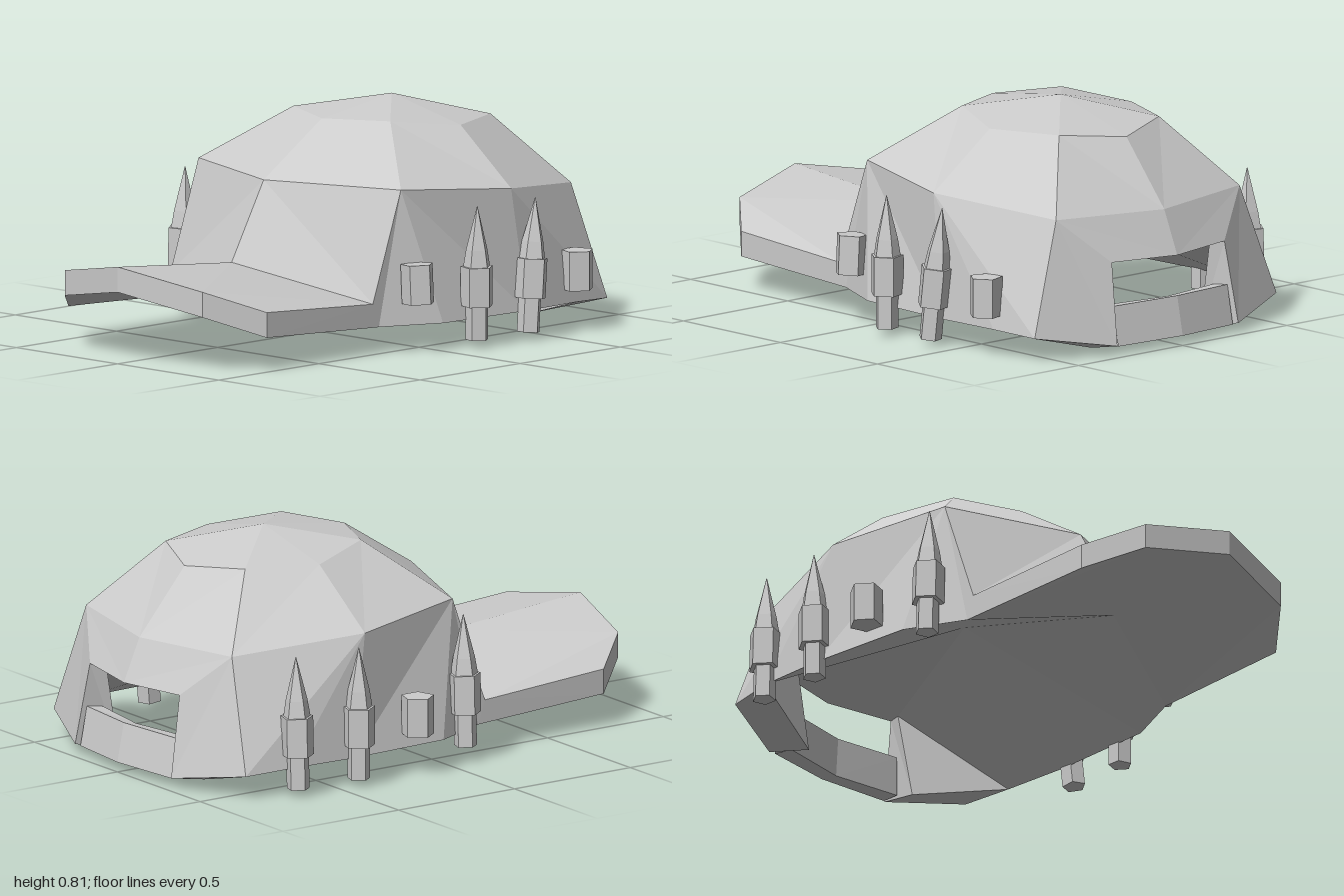
import * as THREE from 'three';

const grey = new THREE.MeshStandardMaterial({ color: 0xcccccc, flatShading: true });
const cloth = new THREE.MeshStandardMaterial({ color: 0xcccccc, flatShading: true, side: THREE.DoubleSide });

// Builds faceted panels from corner loops of the +x half and mirrors them to -x.
function mirroredPanels(name, faces) {
  const pos = [];
  for (const f of faces) {
    for (let i = 1; i < f.length - 1; i++) {
      const tri = [f[0], f[i], f[i + 1]];
      for (const p of tri) pos.push(...p);
      for (const [x, y, z] of tri.reverse()) pos.push(-x, y, z);
    }
  }
  const geo = new THREE.BufferGeometry();
  geo.setAttribute('position', new THREE.Float32BufferAttribute(pos, 3));
  geo.computeVertexNormals();
  const mesh = new THREE.Mesh(geo, cloth);
  mesh.name = name;
  return mesh;
}

// Key rings of the crown, each running front to back down the +x side
const apex = [0, 0.81, -0.37];
const upper = [[0, 0.76, -0.02], [0.24, 0.765, -0.12], [0.34, 0.735, -0.37], [0.24, 0.735, -0.62], [0, 0.71, -0.71]];
const middle = [[0, 0.575, 0.27], [0.5, 0.575, 0.09], [0.6, 0.54, -0.36], [0.44, 0.49, -0.82], [0, 0.48, -0.905]];
const seamFront = [0, 0.3, 0.43], seamSide = [0.5, 0.185, 0.23];
const rimFront = [0, 0.21, 0.43], rimCorner = [0.5, 0.1, 0.2];
const rimWide = [0.6, 0.1, -0.02], rimSide = [0.62, 0.1, -0.42];
const rimRear = [0.61, 0.1, -0.68], rimBack = [0.58, 0.09, -0.86];
// Opening at the back: outer and inner edges, and the flaps beside it
const holeMid = [0, 0.325, -0.972], holeCorner = [0.27, 0.33, -0.925];
const innerMid = [0, 0.325, -0.92], innerCorner = [0.25, 0.325, -0.87];
const flapOut = [0.29, 0.04, -0.975], flapIn = [0.26, 0.005, -0.81];

function buildCrown() {
  const faces = [];
  for (let i = 0; i < 4; i++) {
    faces.push([apex, upper[i], upper[i + 1]]);
    faces.push([upper[i], middle[i], middle[i + 1], upper[i + 1]]);
  }
  faces.push(
    [middle[0], seamFront, seamSide, middle[1]],
    [middle[1], seamSide, rimCorner, rimWide],
    [middle[1], rimWide, rimSide, middle[2]],
    [middle[2], rimSide, rimRear, rimBack, middle[3]],
    // back panel above the opening
    [middle[3], holeCorner, holeMid, middle[4]],
    [holeMid, holeCorner, innerCorner, innerMid],
    // flap: outside, underside, end and inside
    [middle[3], rimBack, flapOut, holeCorner],
    [rimBack, rimRear, flapIn, flapOut],
    [holeCorner, flapOut, flapIn, innerCorner],
    [rimRear, innerCorner, flapIn],
  );
  return mirroredPanels('crown', faces);
}

// Shallow ceiling inside the crown
function buildLining() {
  const top = [0, 0.4, -0.3];
  const ring = [rimFront, rimCorner, rimWide, rimSide, rimRear, innerCorner, innerMid];
  return mirroredPanels('lining', ring.slice(1).map((p, i) => [top, p, ring[i]]));
}

function buildBrim() {
  const topEdge = [seamSide, [0.49, 0.215, 0.75], [0.34, 0.29, 0.92], [0, 0.35, 1]];
  const lowEdge = [rimCorner, [0.49, 0.125, 0.75], [0.34, 0.2, 0.92], [0, 0.26, 1]];
  const faces = [
    [seamFront, topEdge[3], topEdge[2], seamSide],
    [seamSide, topEdge[2], topEdge[1]],
    [rimFront, rimCorner, lowEdge[2], lowEdge[3]],
    [rimCorner, lowEdge[1], lowEdge[2]],
  ];
  for (let i = 0; i < 3; i++) faces.push([topEdge[i], topEdge[i + 1], lowEdge[i + 1], lowEdge[i]]);
  return mirroredPanels('brim', faces);
}

// Thick band closing the opening below; section corners at the middle and at the flap
function buildStrap() {
  const mid = [[0, 0.18, -0.972], [0, 0.04, -1], [0, 0.03, -0.93], [0, 0.17, -0.92]];
  const end = [[0.275, 0.175, -0.935], [0.275, 0.035, -0.963], [0.265, 0.03, -0.89], [0.255, 0.17, -0.88]];
  return mirroredPanels('backStrap', mid.map((p, i) => {
    const j = (i + 1) % 4;
    return [p, end[i], end[j], mid[j]];
  }));
}

// Five-sided loop, optionally holding a pointed cartridge; origin at the loop's centre
function buildHolder(filled) {
  const holder = new THREE.Group();
  holder.name = filled ? 'filledLoop' : 'emptyLoop';
  const add = (name, rTop, rBottom, y0, y1) => {
    const geo = new THREE.CylinderGeometry(rTop, rBottom, y1 - y0, 5);
    geo.translate(0, (y0 + y1) / 2, 0);
    const mesh = new THREE.Mesh(geo, grey);
    mesh.name = name;
    holder.add(mesh);
  };
  add('loop', 0.06, 0.06, -0.07, 0.07);
  if (filled) {
    add('cartridgeCase', 0.042, 0.042, -0.19, 0.07);
    add('cartridgeShoulder', 0.04, 0.05, 0.07, 0.13);
    add('cartridgeTip', 0.001, 0.04, 0.13, 0.285);
  }
  return holder;
}

export function createModel() {
  const cap = new THREE.Group();
  cap.name = 'cap';
  cap.add(buildCrown(), buildLining(), buildBrim(), buildStrap());

  // Loops along both sides: x, y, z, filled, tilt about x, tilt about z
  const holders = [
    [0.58, 0.25, 0.085, false, 0, 0.05],
    [0.635, 0.22, -0.155, true, 0, 0],
    [0.645, 0.22, -0.415, true, -0.1, 0.03],
    [0.63, 0.22, -0.66, false, 0, 0],
    [-0.58, 0.25, 0.085, true, 0, -0.03],
    [-0.64, 0.22, -0.16, false, 0, 0],
    [-0.64, 0.22, -0.415, true, 0, 0],
    [-0.625, 0.22, -0.67, true, 0, -0.03],
  ];
  for (const [x, y, z, filled, tiltX, tiltZ] of holders) {
    const holder = buildHolder(filled);
    holder.position.set(x, y, z);
    holder.rotation.set(tiltX, x > 0 ? Math.PI / 2 : -Math.PI / 2, tiltZ, 'XZY');
    cap.add(holder);
  }
  return cap;
}
